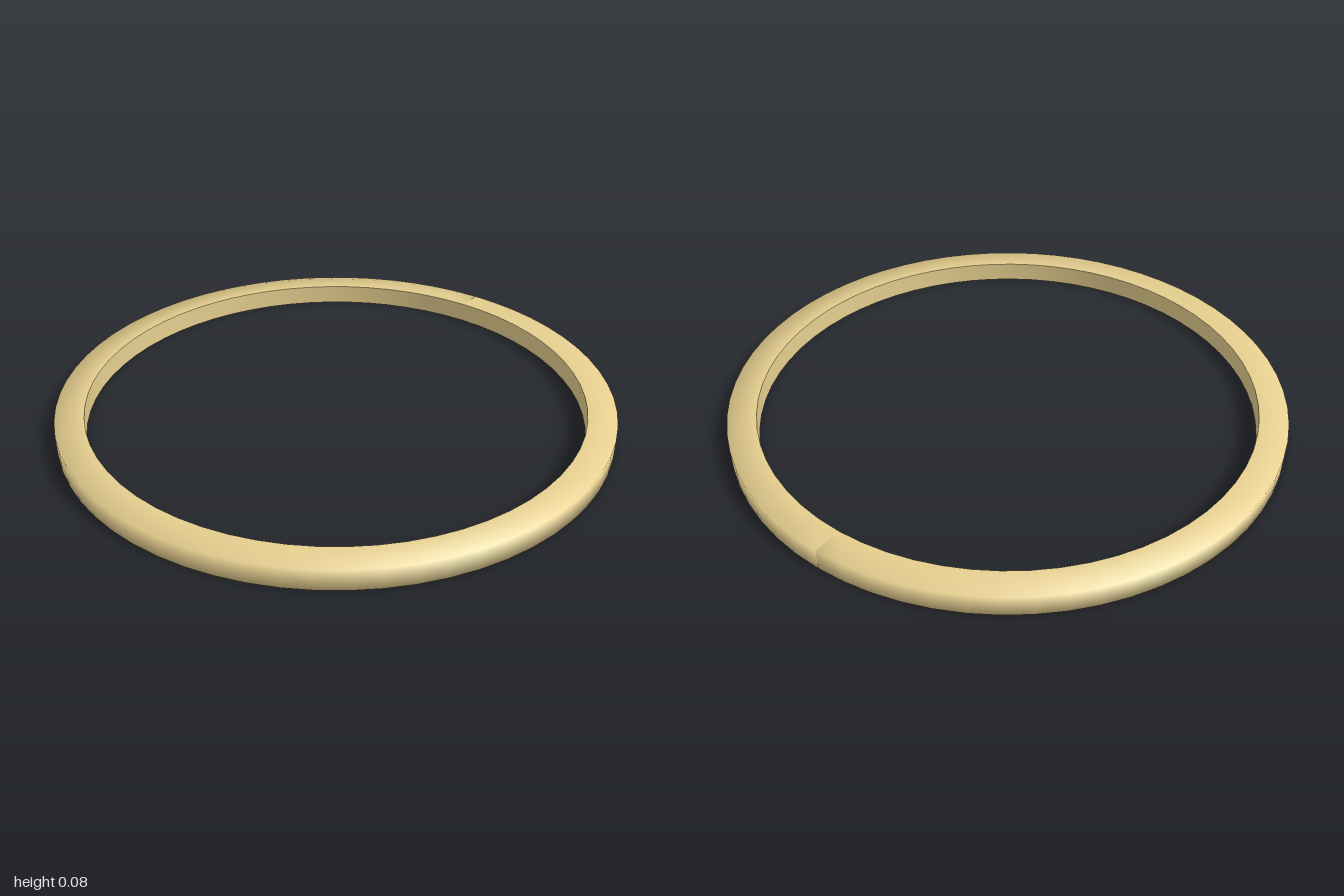
import * as THREE from 'three';

const OUTER = 1, INNER = 0.898, HEIGHT = 0.075, SEGMENTS = 64;

// Revolves a profile of [radius, height] points, with the seam on +x
function revolve(name, profile, material) {
  const points = profile.map(([r, y]) => new THREE.Vector2(r, y));
  const geometry = new THREE.LatheGeometry(points, SEGMENTS, Math.PI / 2);
  // Face-averaged normals soften the rim and leave a visible joint at the seam
  geometry.computeVertexNormals();
  const mesh = new THREE.Mesh(geometry, material);
  mesh.name = name;
  return mesh;
}

export function createModel() {
  const group = new THREE.Group();
  group.name = 'ring';
  const gold = new THREE.MeshStandardMaterial({ color: 0xe6cf8f });

  // Underside, outer wall and top, smooth across the outer edges
  group.add(revolve('outerBand', [
    [INNER, 0], [OUTER, 0], [OUTER, HEIGHT], [INNER, HEIGHT],
  ], gold));

  // Inner wall, sharp against the top and underside
  group.add(revolve('innerWall', [[INNER, HEIGHT], [INNER, 0]], gold));

  return group;
}
